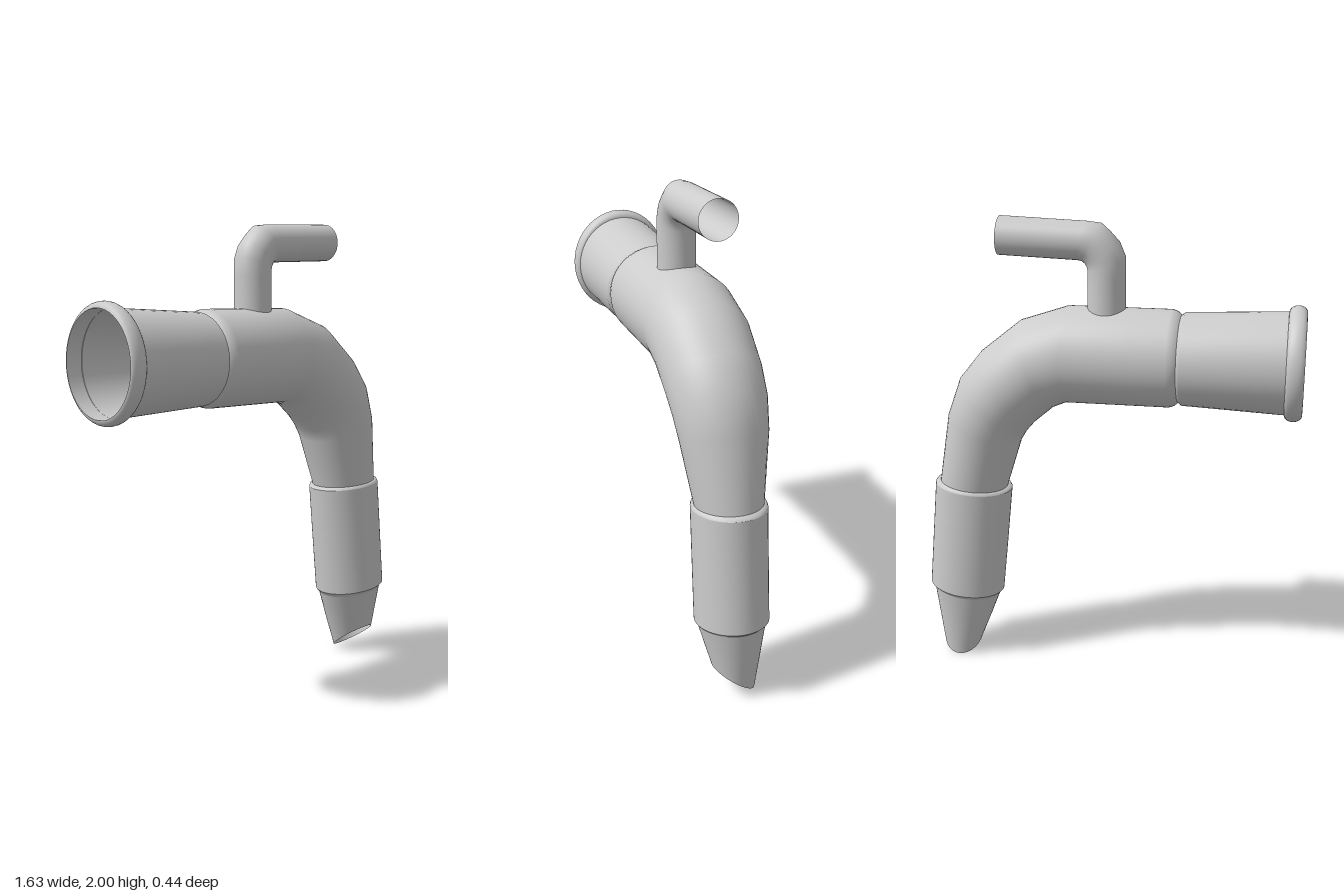
import * as THREE from 'three';

const SIDES = 48;

// Loft through elliptical rings. Each ring is [x1, y1, x2, y2, depthRadius, shear]:
// two opposite points of the outline, the half depth in z, and a y slope along z.
function loft(name, rings, material) {
  const positions = [], index = [];
  rings.forEach(([x1, y1, x2, y2, rz, shear = 0], i) => {
    for (let j = 0; j < SIDES; j++) {
      const t = (j / SIDES) * Math.PI * 2, c = Math.cos(t), z = rz * Math.sin(t);
      positions.push(
        (x1 + x2) / 2 + ((x1 - x2) / 2) * c,
        (y1 + y2) / 2 + ((y1 - y2) / 2) * c + shear * z,
        z);
      if (i === rings.length - 1) continue;
      const a = i * SIDES + j, b = i * SIDES + (j + 1) % SIDES;
      index.push(a, b, a + SIDES, b, b + SIDES, a + SIDES);
    }
  });
  const geometry = new THREE.BufferGeometry();
  geometry.setAttribute('position', new THREE.Float32BufferAttribute(positions, 3));
  geometry.setIndex(index);
  geometry.computeVertexNormals();
  const mesh = new THREE.Mesh(geometry, material);
  mesh.name = name;
  return mesh;
}

// Upright ring of the horizontal pipe
const upright = (x, ry, rz) => [x, 1.43 + ry, x, 1.43 - ry, rz];

export function createModel() {
  const group = new THREE.Group();
  group.name = 'pipeAdapter';
  const material = new THREE.MeshStandardMaterial({ color: 0xcccccc, side: THREE.DoubleSide });
  const add = (name, rings) => group.add(loft(name, rings, material));

  // Rounded bead around the open inlet
  const bead = [];
  for (let i = 0; i <= 10; i++) {
    const a = Math.PI * (i / 10), s = Math.sin(a);
    bead.push(upright(-0.783 - 0.037 * Math.cos(a), 0.212 + 0.027 * s, 0.2 + 0.018 * s));
  }
  add('inletBead', bead);

  // Slightly tapered inlet
  add('inletPipe', [
    upright(-0.82, 0.212, 0.2), upright(-0.74, 0.212, 0.203),
    upright(-0.325, 0.193, 0.203), upright(-0.31, 0.181, 0.186),
  ]);

  // Main body with its bend, narrowing towards the outlet
  add('bentBody', [
    upright(-0.31, 0.181, 0.186), upright(-0.295, 0.196, 0.197), upright(-0.27, 0.204, 0.202),
    upright(-0.1, 0.204, 0.202), upright(0.165, 0.204, 0.202),
    [0.368, 1.566, 0.225, 1.2, 0.202],
    [0.537, 1.43, 0.31, 1.127, 0.197],
    [0.632, 1.312, 0.35, 1.08, 0.19],
    [0.69, 1.153, 0.378, 1.032, 0.178],
    [0.743, 0.841, 0.447, 0.81, 0.138],
  ]);

  // Outlet sleeve: shoulder, barrel and slanted tip
  add('sleeveShoulder', [
    [0.743, 0.845, 0.447, 0.815, 0.138], [0.758, 0.842, 0.432, 0.812, 0.148],
    [0.766, 0.832, 0.426, 0.802, 0.151],
  ]);
  add('sleeveBarrel', [
    [0.766, 0.832, 0.426, 0.802, 0.151], [0.789, 0.59, 0.452, 0.555, 0.151],
    [0.812, 0.349, 0.479, 0.307, 0.151],
  ]);
  add('sleeveLowerEdge', [
    [0.812, 0.349, 0.479, 0.307, 0.151], [0.796, 0.333, 0.495, 0.29, 0.138],
  ]);
  add('slantedTip', [
    [0.796, 0.333, 0.495, 0.29, 0.138], [0.778, 0.195, 0.54, 0.174, 0.114, 0.3],
    [0.762, 0.065, 0.586, 0.065, 0.09, 0.69],
  ]);

  // Side branch, rising from the body and turning level
  add('branchPipe', [
    [-0.082, 1.6, 0.082, 1.6, 0.082], [-0.08, 1.63, 0.078, 1.63, 0.08],
    [-0.08, 1.77, 0.077, 1.74, 0.08],
    [-0.08, 1.845, 0.077, 1.785, 0.08],
    [-0.055, 1.905, 0.081, 1.803, 0.08],
    [-0.015, 1.948, 0.088, 1.815, 0.08],
    [0.022, 1.98, 0.1, 1.825, 0.08],
    [0.08, 1.986, 0.12, 1.828, 0.08],
    [0.444, 2.0, 0.45, 1.84, 0.08],
  ]);

  return group;
}
